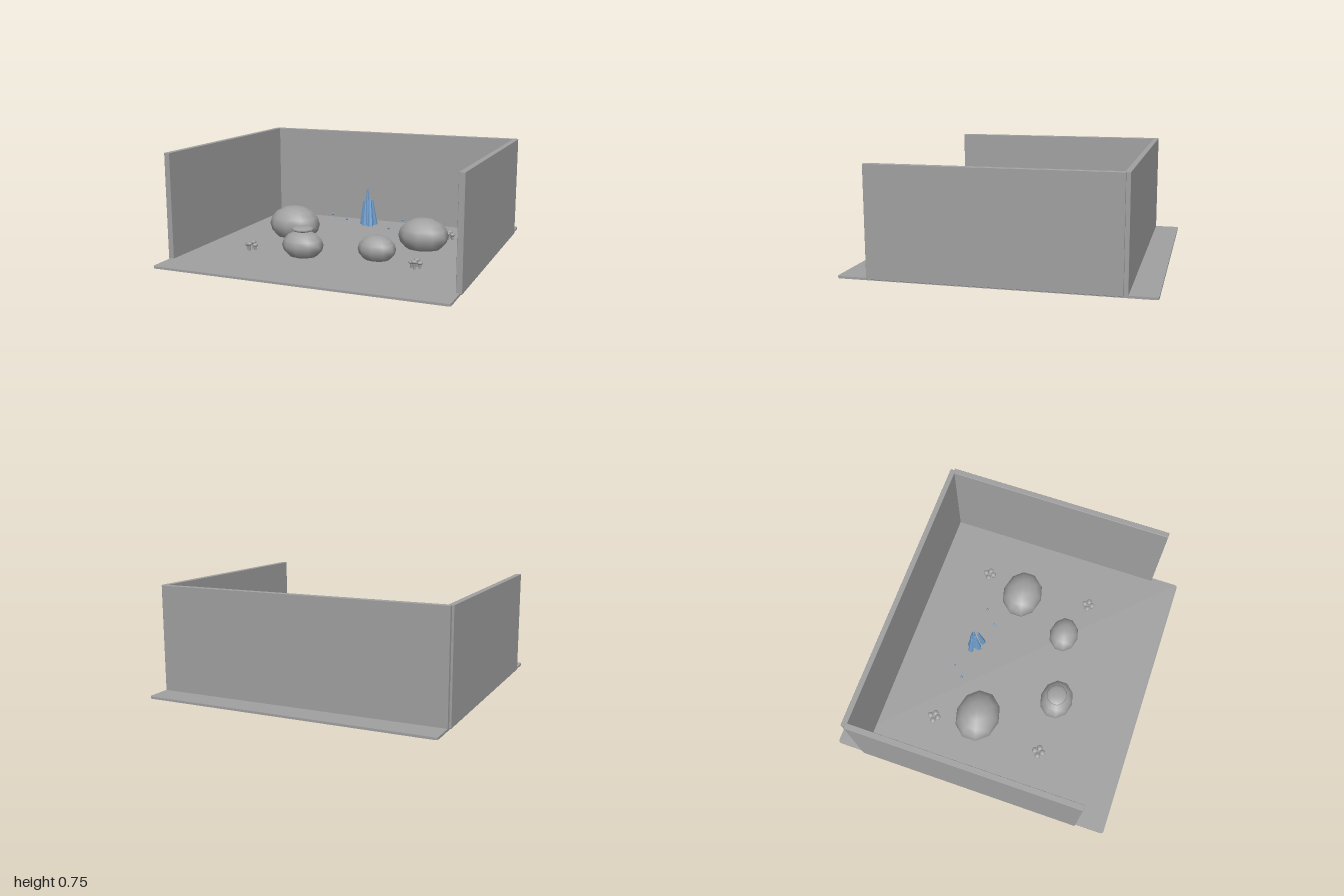
import * as THREE from 'three';
import { RoundedBoxGeometry } from 'three/addons/geometries/RoundedBoxGeometry.js';

const stone = new THREE.MeshStandardMaterial({ color: 0xa0a0a0 });
stone.name = 'greyStone';
const blue = new THREE.MeshStandardMaterial({ color: 0x6f9fd0 });
blue.name = 'crystalBlue';

function add(parent, name, geometry, material, x = 0, y = 0, z = 0) {
  const mesh = new THREE.Mesh(geometry, material);
  mesh.name = name;
  mesh.position.set(x, y, z);
  parent.add(mesh);
  return mesh;
}

// Ten-sided smooth ellipsoid with a corner facing +z and -z
function ellipsoid(rx, ry, rz, rows = 8) {
  return new THREE.SphereGeometry(1, 10, rows)
    .rotateY(Math.PI / 2)
    .scale(rx / Math.cos(Math.PI / 10), ry, rz);
}

// Tapered shaft running from point a to point b
function shaft(parent, name, a, b, rBottom, rTop) {
  const dir = b.clone().sub(a);
  const geo = new THREE.CylinderGeometry(rTop, rBottom, dir.length(), 6).toNonIndexed();
  geo.computeVertexNormals();
  const mesh = add(parent, name, geo, blue);
  mesh.position.copy(a).add(b).multiplyScalar(0.5);
  mesh.quaternion.setFromUnitVectors(new THREE.Vector3(0, 1, 0), dir.normalize());
}

// Floor slab with rounded corners
function floorGeometry(h, r, depth) {
  const s = new THREE.Shape();
  s.moveTo(-h + r, -h);
  s.absarc(h - r, -h + r, r, -Math.PI / 2, 0);
  s.absarc(h - r, h - r, r, 0, Math.PI / 2);
  s.absarc(-h + r, h - r, r, Math.PI / 2, Math.PI);
  s.absarc(-h + r, -h + r, r, Math.PI, Math.PI * 1.5);
  return new THREE.ExtrudeGeometry(s, { depth, bevelEnabled: false, curveSegments: 4 })
    .rotateX(-Math.PI / 2);
}

function mushroomCluster(x, z) {
  const cluster = new THREE.Group();
  cluster.name = 'mushroomCluster';
  cluster.position.set(x, 0.045, z);
  for (let i = 0; i < 4; i++) {
    const a = (i * Math.PI) / 2;
    const px = Math.cos(a) * 0.028, pz = Math.sin(a) * 0.028;
    const h = i % 2 ? 0.05 : 0.038;
    add(cluster, 'mushroomStem', new THREE.CylinderGeometry(0.011, 0.008, h, 8), stone, px, h / 2, pz);
    add(cluster, 'mushroomCap', ellipsoid(0.02, 0.012, 0.02, 6), stone, px, h, pz);
  }
  return cluster;
}

export function createModel() {
  const model = new THREE.Group();
  model.name = 'stoneCourtyard';

  // Floor and three walls
  add(model, 'floor', floorGeometry(0.987, 0.02, 0.015), stone, 0, 0.032, 0);
  for (const side of [-1, 1]) {
    add(model, 'sideWall', new RoundedBoxGeometry(0.038, 0.715, 1.575, 1, 0.003), stone, side * 0.981, 0.3975, 0);
  }
  add(model, 'backWall', new RoundedBoxGeometry(1.974, 0.715, 0.036, 1, 0.003), stone, 0, 0.3975, -0.796);

  // Boulders sunk into the floor: x, y, z, then radii
  const boulders = [
    [-0.5, 0.135, -0.1, 0.18, 0.135, 0.157],
    [0.493, 0.137, -0.102, 0.169, 0.125, 0.147],
    [-0.2, 0.122, 0.393, 0.137, 0.1, 0.117],
    [0.293, 0.118, 0.29, 0.124, 0.093, 0.106],
  ];
  for (const [x, y, z, rx, ry, rz] of boulders) {
    add(model, 'boulder', ellipsoid(rx, ry, rz), stone, x, y, z);
  }
  add(model, 'capStone', ellipsoid(0.073, 0.02, 0.073), stone, -0.2, 0.23, 0.39);

  // Cluster of crystals leaning in to a tall centre one
  const crystals = new THREE.Group();
  crystals.name = 'crystals';
  crystals.position.set(0, 0.125, -0.3);
  model.add(crystals);
  const V = (x, y, z) => new THREE.Vector3(x, y, z);
  shaft(crystals, 'tallCrystal', V(0, 0, 0), V(0, 0.275, 0), 0.028, 0.006);
  const spikes = [[0.043, -0.038, 0.19], [0.04, 0.045, 0.2], [-0.045, -0.018, 0.175], [-0.012, 0.03, 0.2], [-0.008, -0.035, 0.17]];
  for (const [x, z, h] of spikes) {
    shaft(crystals, 'smallCrystal', V(x, 0, z), V(x * 0.65, h, z * 0.4), 0.021, 0.008);
  }

  // Floating sparks around the crystals
  for (const [x, y, z] of [[-0.28, 0.185, -0.3], [-0.2, 0.135, -0.385], [0.195, 0.135, -0.22], [0.275, 0.185, -0.3]]) {
    add(model, 'spark', new THREE.SphereGeometry(0.009, 8, 6), blue, x, y, z);
  }

  // Mushrooms in the four corners
  for (const x of [-0.595, 0.595]) {
    for (const z of [-0.4, 0.39]) model.add(mushroomCluster(x, z));
  }
  return model;
}
